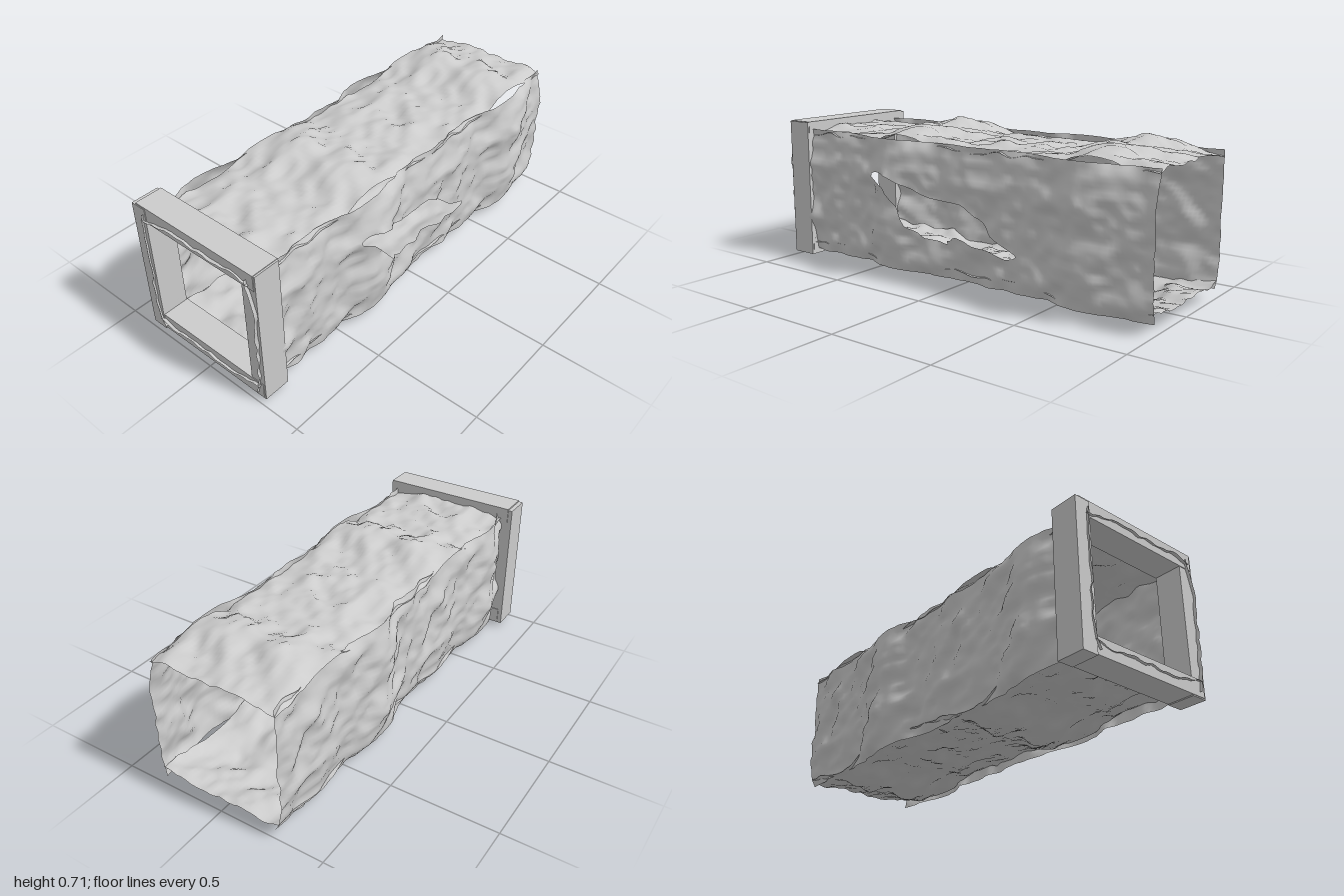
import * as THREE from 'three';

const CY = 0.35; // height of the tunnel axis
const rockMaterial = new THREE.MeshStandardMaterial({ color: 0xcccccc, side: THREE.DoubleSide });
const beamMaterial = new THREE.MeshStandardMaterial({ color: 0xcccccc });

// Outline of the breach in the left wall, as (z, y)
const breach = [
  [0.43, 0.48], [0.39, 0.5], [0.3, 0.485], [0.2, 0.44], [0.1, 0.405], [0, 0.4], [-0.08, 0.395],
  [-0.17, 0.34], [-0.25, 0.27], [-0.36, 0.22], [-0.365, 0.205], [-0.31, 0.19], [-0.2, 0.22],
  [-0.03, 0.245], [0, 0.21], [0.13, 0.22], [0.22, 0.27], [0.28, 0.35], [0.35, 0.43],
].map(([z, y]) => new THREE.Vector2(CY - y, z)); // in the wall's own (across, along) axes

const hash = (i, j, seed) => {
  const s = Math.sin(i * 127.1 + j * 311.7 + seed * 74.7) * 43758.5453;
  return s - Math.floor(s);
};

// Smooth value noise in -1..1, repeating every `period` along the first axis
function noise(a, b, period, seed) {
  const i = Math.floor(a), j = Math.floor(b);
  const f = (t) => t * t * (3 - 2 * t);
  const u = f(a - i), v = f(b - j);
  const h = (di, dj) => hash((((i + di) % period) + period) % period, j + dj, seed);
  const lerp = THREE.MathUtils.lerp;
  return 2 * lerp(lerp(h(0, 0), h(1, 0), u), lerp(h(0, 1), h(1, 1), u), v) - 1;
}

// Rock relief: one broad bulge per unit of length, skewed ripples, edges drawn inward
function relief(x, z, phase) {
  const t = z - phase;
  const d = t - Math.round(t);
  const e = (x / 0.3) ** 2;
  const bulge = 0.056 * Math.exp(-((d / 0.15) ** 2)) * (1 - 0.5 * e);
  const ripple = 0.018 * noise(t * 6 - x * 3, x * 8, 6, 3)
    + 0.013 * noise(t * 13 - x * 6, x * 16, 13, 8)
    + 0.007 * noise(t * 24 - x * 10, x * 30, 24, 5);
  return 0.012 + bulge + ripple - 0.014 * e * e;
}

function inside(p, outline) {
  let hit = false;
  outline.forEach((a, i) => {
    const b = outline[(i + 1) % outline.length];
    if ((a.y > p.y) !== (b.y > p.y) && p.x < ((b.x - a.x) * (p.y - a.y)) / (b.y - a.y) + a.x) hit = !hit;
  });
  return hit;
}

// Pull a grid point onto the outline when it lies close to it
function snap(p, outline, reach) {
  let best = reach, target = null;
  outline.forEach((a, i) => {
    const ab = outline[(i + 1) % outline.length].clone().sub(a);
    const k = THREE.MathUtils.clamp(p.clone().sub(a).dot(ab) / ab.lengthSq(), 0, 1);
    const q = a.clone().addScaledVector(ab, k);
    if (q.distanceTo(p) < best) {
      best = q.distanceTo(p);
      target = q;
    }
  });
  if (target) p.copy(target);
}

// Rippled sheet facing +y, 0.6 wide and 2 long, with an optional hole
function rockSheet(base, phase, shift, hole) {
  const nx = 34, nz = 110, points = [], positions = [], index = [];
  for (let j = 0; j <= nz; j++) {
    for (let i = 0; i <= nx; i++) {
      const p = new THREE.Vector2(-0.3 + (0.6 * i) / nx, -1 + (2 * j) / nz);
      if (hole) snap(p, hole, 0.0095);
      points.push(p);
      positions.push(p.x + shift, base + relief(p.x, p.y, phase), p.y);
    }
  }
  const addFace = (a, b, c) => {
    const mid = points[a].clone().add(points[b]).add(points[c]).divideScalar(3);
    if (!hole || !inside(mid, hole)) index.push(a, b, c);
  };
  for (let j = 0; j < nz; j++) {
    for (let i = 0; i < nx; i++) {
      const a = j * (nx + 1) + i, b = a + nx + 1;
      addFace(a, b, a + 1);
      addFace(a + 1, b, b + 1);
    }
  }
  const geometry = new THREE.BufferGeometry();
  geometry.setAttribute('position', new THREE.Float32BufferAttribute(positions, 3));
  geometry.setIndex(index);
  geometry.computeVertexNormals();
  return geometry;
}

export function createModel() {
  const model = new THREE.Group();
  model.name = 'rockTunnel';

  // Four rock sheets turned around the tunnel axis
  const sheets = [
    ['ceiling', 0, 0.283, 0.3, -0.012, null],
    ['rightWall', Math.PI / 2, 0.298, 0.7, 0, null],
    ['floor', Math.PI, 0.267, 0.3, 0, null],
    ['leftWall', -Math.PI / 2, 0.292, 0.33, 0, breach],
  ];
  for (const [name, turn, base, phase, shift, hole] of sheets) {
    const mesh = new THREE.Mesh(rockSheet(base, phase, shift, hole), rockMaterial);
    mesh.name = name;
    mesh.position.y = CY;
    mesh.rotation.z = turn;
    model.add(mesh);
  }

  // Entrance frame of four overlapping beams: x, y and z ranges
  const frame = new THREE.Group();
  frame.name = 'entranceFrame';
  const beams = [
    ['rightPost', -0.365, -0.29, 0.025, 0.68, 0.864, 0.991],
    ['leftPost', 0.245, 0.32, 0.025, 0.684, 0.862, 0.985],
    ['lintel', -0.345, 0.312, 0.612, 0.687, 0.86, 0.988],
    ['sill', -0.345, 0.312, 0.03, 0.105, 0.86, 0.988],
  ];
  for (const [name, x0, x1, y0, y1, z0, z1] of beams) {
    const beam = new THREE.Mesh(new THREE.BoxGeometry(x1 - x0, y1 - y0, z1 - z0), beamMaterial);
    beam.name = name;
    beam.position.set((x0 + x1) / 2, (y0 + y1) / 2, (z0 + z1) / 2);
    frame.add(beam);
  }
  model.add(frame);
  return model;
}
